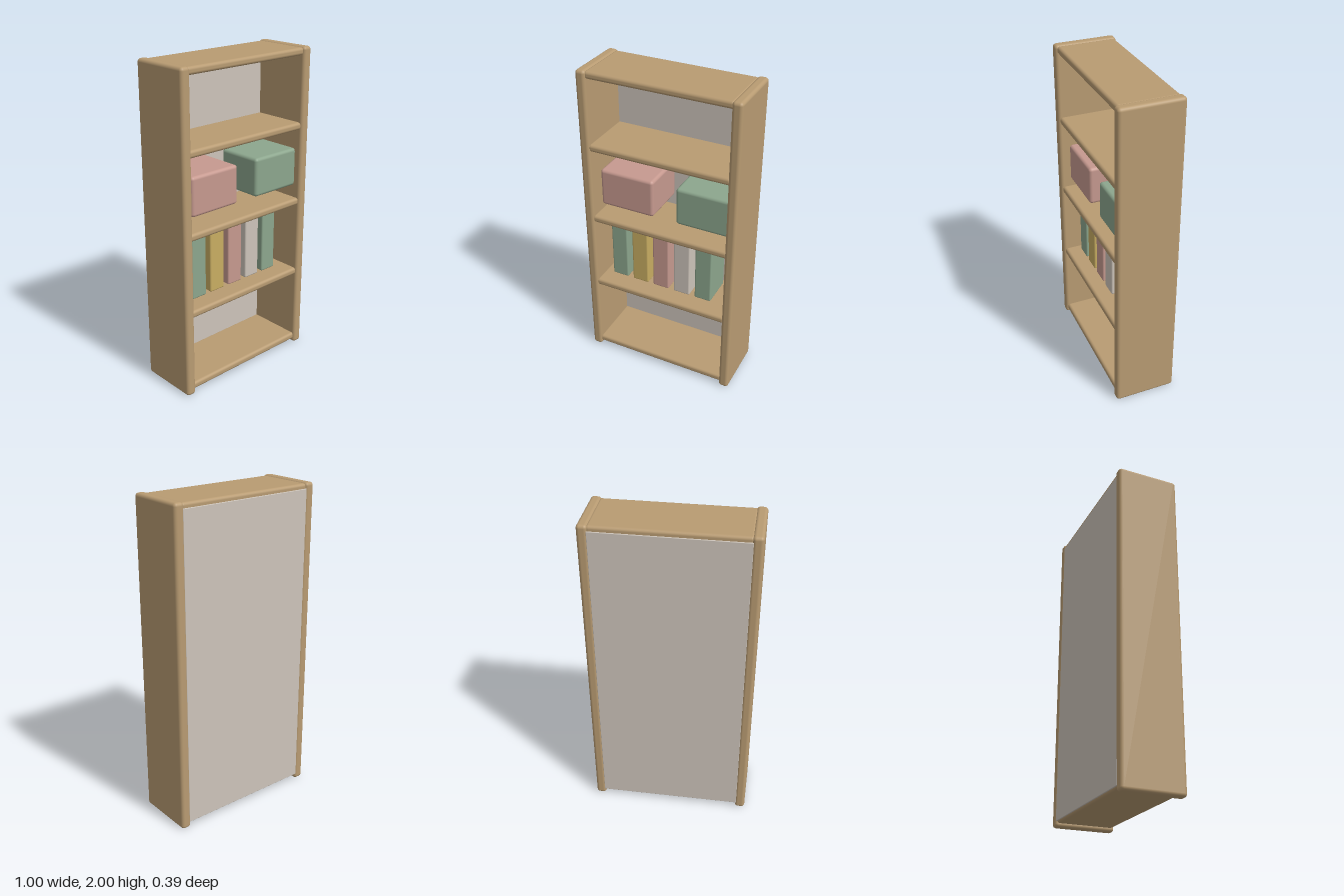
import * as THREE from 'three';
import { RoundedBoxGeometry } from 'three/addons/geometries/RoundedBoxGeometry.js';

const paint = (name, color) => {
  const m = new THREE.MeshStandardMaterial({ color });
  m.name = name;
  return m;
};

export function createModel() {
  const wood = paint('wood', 0xb89b72);
  const linen = paint('linen', 0xcdc4ba);
  const pink = paint('pink', 0xc6998f);
  const green = paint('green', 0x8ca68d);
  const yellow = paint('yellow', 0xc8ad62);

  const model = new THREE.Group();
  model.name = 'bookcase';

  // Rounded block given by its extents on each axis
  const block = (name, material, [x0, x1], [y0, y1], [z0, z1], radius) => {
    const geometry = new RoundedBoxGeometry(x1 - x0, y1 - y0, z1 - z0, 3, radius);
    const mesh = new THREE.Mesh(geometry, material);
    mesh.name = name;
    mesh.position.set((x0 + x1) / 2, (y0 + y1) / 2, (z0 + z1) / 2);
    model.add(mesh);
  };

  // Upright sides
  block('leftSide', wood, [0.437, 0.5], [0, 2], [-0.193, 0.193], 0.02);
  block('rightSide', wood, [-0.5, -0.437], [0, 2], [-0.193, 0.193], 0.02);

  // Shelves, from the base to the top
  [0.046, 0.536, 1.026, 1.518, 1.972].forEach((y, i) =>
    block(`shelf${i + 1}`, wood, [-0.45, 0.45], [y - 0.023, y + 0.023], [-0.184, 0.181], 0.018));

  // Back panel
  block('backPanel', linen, [-0.445, 0.445], [0.035, 1.965], [-0.19, -0.17], 0.003);

  // Row of books
  [green, yellow, pink, linen, green].forEach((material, i) => {
    const x = -0.315 + i * 0.145;
    block(`book${i + 1}`, material, [x - 0.055, x + 0.055], [0.58, 1.02], [-0.115, 0.095], 0.01);
  });

  // Storage boxes
  block('pinkBox', pink, [-0.4, -0.048], [1.127, 1.37], [-0.16, 0.143], 0.02);
  block('greenBox', green, [0.1, 0.452], [1.127, 1.37], [-0.16, 0.143], 0.02);

  return model;
}
